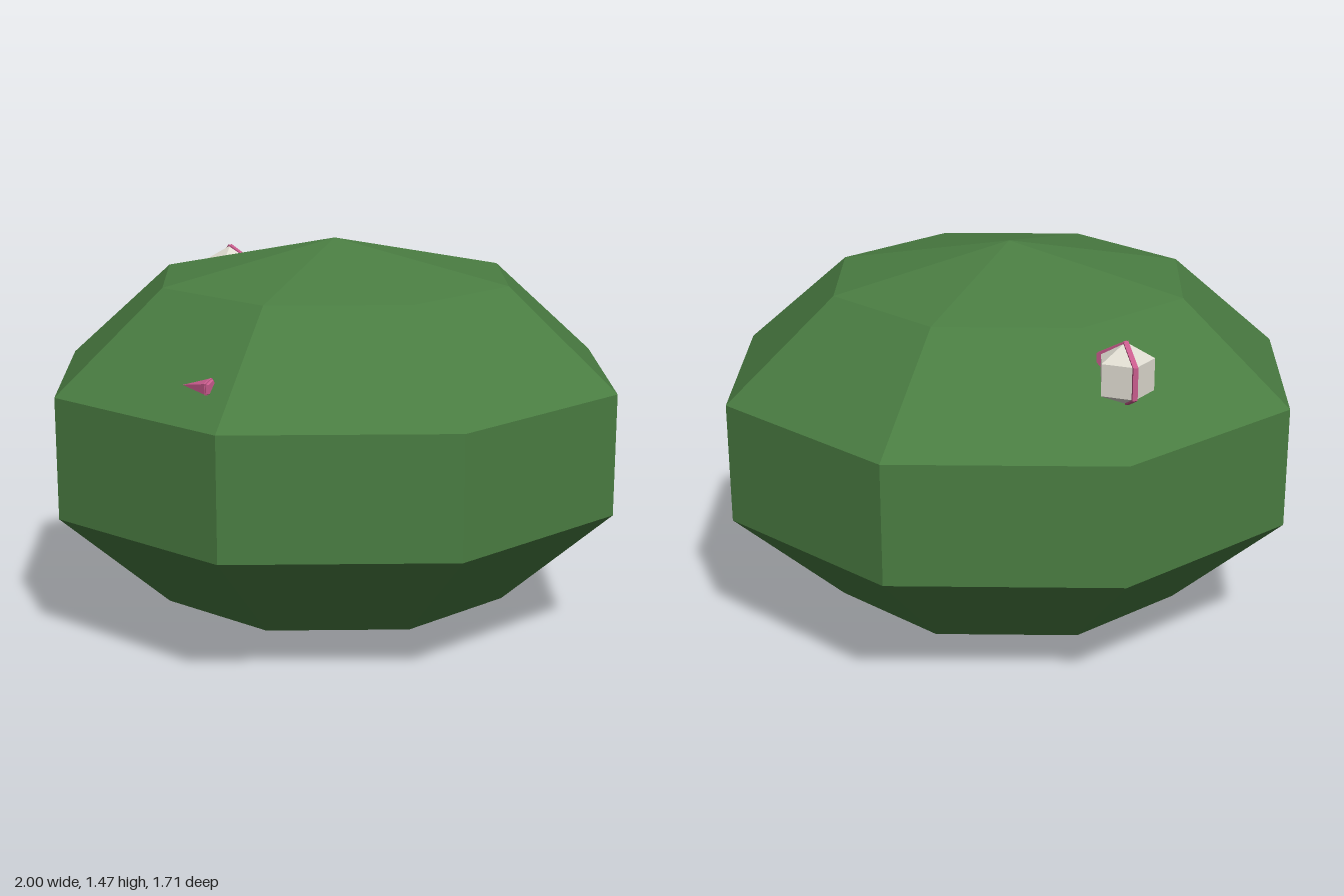
import * as THREE from 'three';

const material = (name, color) => {
  const m = new THREE.MeshStandardMaterial({ color, flatShading: true });
  m.name = name;
  return m;
};

export function createModel() {
  const leafGreen = material('leafGreen', 0x4a7d42);
  const paleGrey = material('paleGrey', 0xdedbd0);
  const pink = material('pink', 0xc75b8c);

  const model = new THREE.Group();
  model.name = 'bush';
  const add = (parent, name, geometry, mat) => {
    const mesh = new THREE.Mesh(geometry, mat);
    mesh.name = name;
    parent.add(mesh);
    return mesh;
  };

  // Faceted foliage: an eight-sided ellipsoid with flat sides on the axes
  const foliage = new THREE.SphereGeometry(1, 8, 5, Math.PI / 8);
  foliage.scale(1.138, 0.7325, 0.973);
  foliage.translate(0, 0.7325, 0);
  add(model, 'foliage', foliage, leafGreen);

  // Pale five-sided bud half sunk into the back of the foliage
  const bud = new THREE.Group();
  bud.name = 'bud';
  bud.position.set(-0.4, 1.205, -0.645);
  model.add(bud);
  const r = 0.115;
  add(bud, 'budBody', new THREE.SphereGeometry(r, 5, 3), paleGrey);

  // Thin pink seams running from pole to pole of the bud
  const R = r * 0.866 + 0.003, h = r / 2 + 0.001;
  const profile = new THREE.Shape([
    new THREE.Vector2(0, -r - 0.003), new THREE.Vector2(R, -h),
    new THREE.Vector2(R, h), new THREE.Vector2(0, r + 0.003),
  ]);
  for (const degrees of [252, 28]) {
    const seam = new THREE.ExtrudeGeometry(profile, { depth: 0.018, bevelEnabled: false });
    seam.translate(0, 0, -0.009);
    add(bud, 'budSeam', seam, pink).rotation.y = -THREE.MathUtils.degToRad(degrees);
  }

  // Small pink petal tip lying on the front slope
  const petal = new THREE.Group();
  petal.name = 'petal';
  const tip = new THREE.Vector3(-0.53, 1.072, 0.62);
  const base = new THREE.Vector3(-0.432, 1.078, 0.688);
  const axis = tip.clone().sub(base);
  petal.position.copy(base);
  petal.quaternion.setFromUnitVectors(new THREE.Vector3(0, 1, 0), axis.clone().normalize());
  model.add(petal);
  const cone = new THREE.ConeGeometry(0.034, axis.length(), 5);
  cone.translate(0, axis.length() / 2, 0);
  add(petal, 'petalTip', cone, pink);
  add(petal, 'petalCollar', new THREE.CylinderGeometry(0.034, 0.026, 0.014, 5), pink);

  return model;
}
